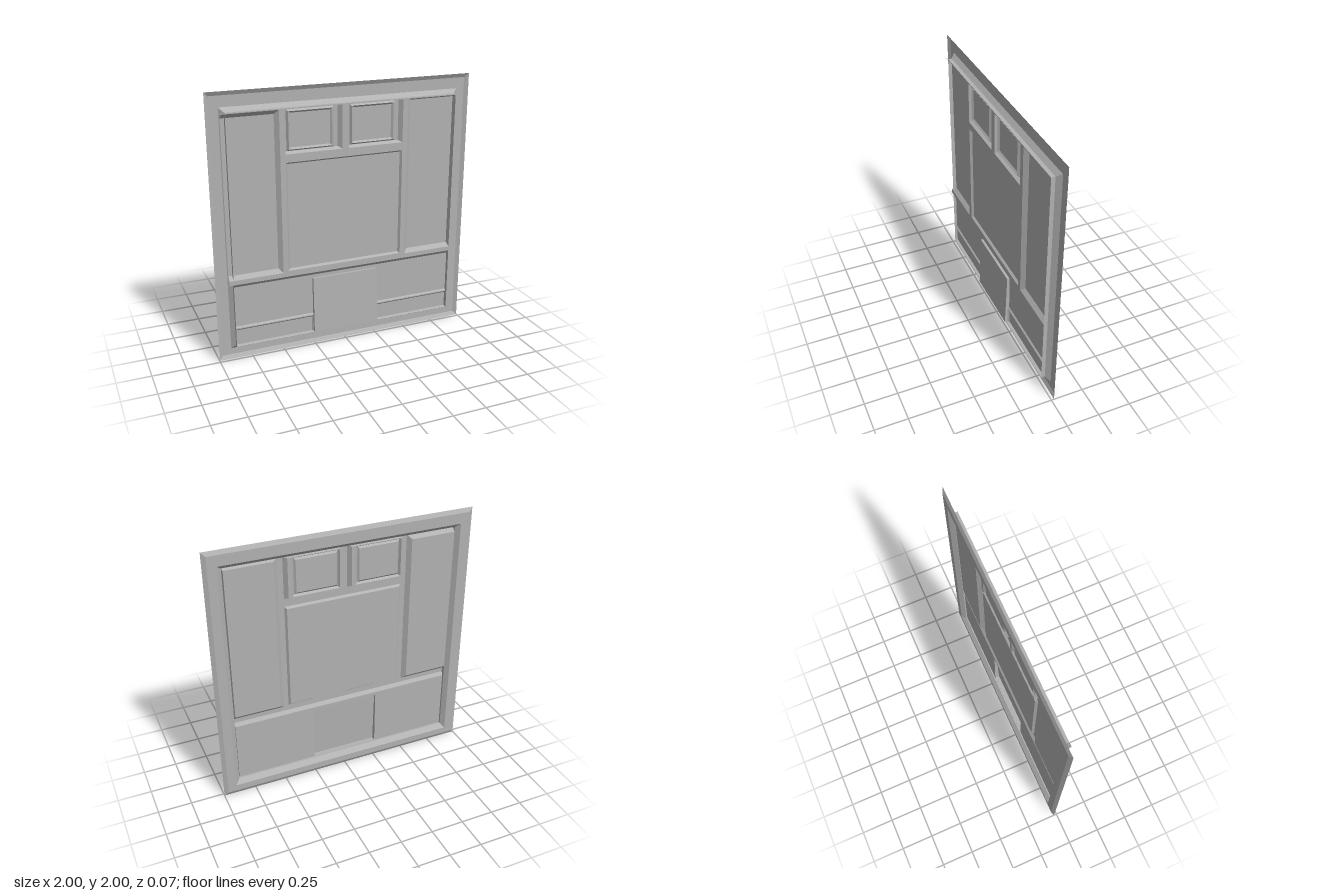
import * as THREE from 'three';

// Rectangles are [x0, y0, x1, y1]
const inset = (r, d) => [r[0] + d, r[1] + d, r[2] - d, r[3] - d];
const shift = (r, dx) => [r[0] + dx, r[1], r[2] + dx, r[3]];

export function createModel() {
  const group = new THREE.Group();
  const grey = new THREE.MeshStandardMaterial({ color: 0xb2b2b2, side: THREE.DoubleSide });
  grey.name = 'panelGrey';

  function add(name, geometry) {
    const mesh = new THREE.Mesh(geometry, grey);
    mesh.name = name;
    group.add(mesh);
  }

  // Corners of a rectangle; z may be one depth or [bottom, top] depths
  function corners([x0, y0, x1, y1], z) {
    const [zb, zt] = Array.isArray(z) ? z : [z, z];
    return [[x0, y0, zb], [x1, y0, zb], [x1, y1, zt], [x0, y1, zt]];
  }

  // Flat-shaded four-cornered faces
  function quads(name, list) {
    const pos = [];
    for (const [a, b, c, d] of list) pos.push(...a, ...b, ...c, ...a, ...c, ...d);
    const geometry = new THREE.BufferGeometry();
    geometry.setAttribute('position', new THREE.Float32BufferAttribute(pos, 3));
    geometry.computeVertexNormals();
    add(name, geometry);
  }

  // Sloping ring between two rectangles
  function bevel(name, outer, zo, inner, zi) {
    const a = corners(outer, zo), b = corners(inner, zi);
    quads(name, a.map((p, i) => [p, a[(i + 1) % 4], b[(i + 1) % 4], b[i]]));
  }

  // Flat rectangle with rectangular openings
  function flat(name, rect, z, holes = []) {
    const points = r => corners(r, 0).map(([x, y]) => new THREE.Vector2(x, y));
    const shape = new THREE.Shape(points(rect));
    for (const h of holes) shape.holes.push(new THREE.Path(points(h).reverse()));
    add(name, new THREE.ShapeGeometry(shape).translate(0, 0, z));
  }

  const zLip = -0.021, zFrame = -0.037, zFloor = -0.006, zFace = 0.023;

  // Outer frame with its forward lip, and the step up to the raised body
  const full = [-1, 0, 1, 2], base = [-0.905, 0.08, 0.905, 1.89], body = [-0.875, 0.115, 0.87, 1.86];
  bevel('frameLip', full, zLip, inset(full, 0.03), zFrame);
  flat('frame', inset(full, 0.03), zFrame, [base]);
  bevel('bodySlope', base, zFrame, body, zFloor);
  bevel('bodySide', body, zFloor, body, zFace);

  // Face of the body: cross beam, top strip and central mullion
  const screen = [-0.46, 0.655, 0.44, 1.475];
  const window0 = [-0.46, 1.535, -0.035, 1.853];
  const windows = [window0, shift(window0, 0.475)];
  flat('crossBeam', [-0.905, 0.61, 0.87, 0.645], zFace);
  flat('topStrip', [-0.905, 1.853, 0.87, 1.86], zFace);
  flat('mullion', [-0.5, 0.645, 0.48, 1.853], zFace, [screen, ...windows]);

  // Tall recessed side panels; the right one runs out to the edge
  const sides = [
    ['rightSidePanel', [-0.905, 0.645, -0.5, 1.853], [-0.905, 0.675, -0.53, 1.822]],
    ['leftSidePanel', [0.48, 0.645, 0.87, 1.853], [0.51, 0.675, 0.86, 1.84]],
  ];
  for (const [name, outer, inner] of sides) {
    const a = corners(outer, zFace), b = corners(inner, zFloor);
    const edges = name === 'rightSidePanel' ? [0, 1, 2] : [0, 1, 2, 3];
    quads(name + 'Bevel', edges.map(i => [a[i], a[(i + 1) % 4], b[(i + 1) % 4], b[i]]));
    flat(name, inner, zFloor);
  }

  // Large central panel
  bevel('centrePanelBevel', screen, zFace, inset(screen, 0.013), 0.006);
  flat('centrePanel', inset(screen, 0.013), 0.006);

  // Two small windows: recess, raised surround, sunken pane
  windows.forEach((w, i) => {
    const floor = [w[0] + 0.01, w[1] + 0.015, w[2] - 0.025, w[3] - 0.005];
    const block = [w[0] + 0.016, 1.552, w[0] + 0.372, 1.845];
    const rim = [w[0] + 0.028, 1.564, w[0] + 0.352, 1.835];
    const n = 'window' + (i + 1);
    bevel(n + 'Recess', w, zFace, floor, zFloor);
    flat(n + 'Floor', floor, zFloor, [block]);
    bevel(n + 'Surround', block, zFloor, rim, 0.012);
    bevel(n + 'PaneBevel', rim, 0.012, inset(rim, 0.013), 0);
    flat(n + 'Pane', inset(rim, 0.013), 0);
  });

  // Lower recess
  const lower = [-0.87, 0.12, 0.865, 0.585], door = [-0.27, 0.122, 0.25, 0.56], zLow = 0.002;
  bevel('lowerBevel', [-0.875, 0.115, 0.87, 0.61], zFace, lower, zLow);
  flat('lowerFloor', lower, zLow, [door]);

  // Tilted centre plate, leaning out at the foot
  bevel('centrePlateSides', door, zLow, door, [0.037, 0.021]);
  quads('centrePlate', [corners(door, [0.037, 0.021])]);

  // Ridges with a sunken panel below, either side of the plate
  for (const [name, x0, x1, d0, d1] of [
    ['rightRidge', -0.87, -0.27, 0.003, 0.01],
    ['leftRidge', 0.25, 0.865, 0.01, 0.003],
  ]) {
    quads(name, [
      corners([x0, 0.26, x1, 0.27], [0.014, zLow]),
      corners([x0, 0.252, x1, 0.26], 0.014),
    ]);
    bevel(name + 'Panel', [x0, 0.121, x1, 0.252], 0.014, [x0 + d0, 0.123, x1 - d1, 0.24], zLow);
  }

  return group;
}
